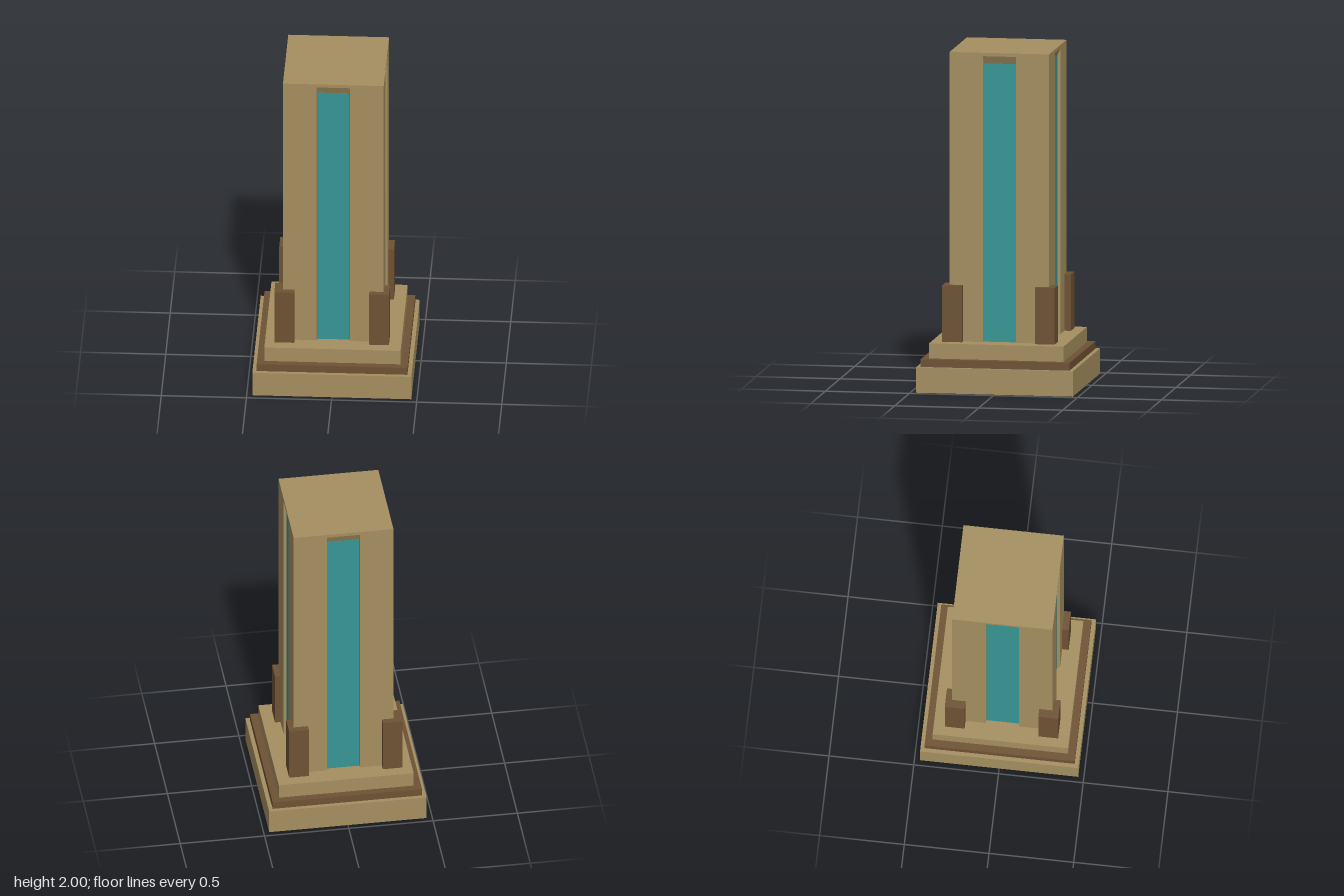
import * as THREE from 'three';

const material = (color) => new THREE.MeshStandardMaterial({ color, flatShading: true });

// Extrude a floor plan upwards from y0 to y1
function extrudePlan(points, y0, y1) {
  const shape = new THREE.Shape(points.map(([x, y]) => new THREE.Vector2(x, y)));
  const geometry = new THREE.ExtrudeGeometry(shape, { depth: y1 - y0, bevelEnabled: false });
  return geometry.rotateX(-Math.PI / 2).translate(0, y0, 0);
}

export function createModel() {
  const model = new THREE.Group();
  model.name = 'tower';
  const stone = material(0xa58f60);
  const trim = material(0x6e5233);
  const glass = material(0x379696);

  const add = (name, geometry, mat, parent = model) => {
    const mesh = new THREE.Mesh(geometry, mat);
    mesh.name = name;
    parent.add(mesh);
    return mesh;
  };
  const slab = (name, half, y0, y1, mat) =>
    add(name, new THREE.BoxGeometry(half * 2, y1 - y0, half * 2).translate(0, (y0 + y1) / 2, 0), mat);

  // Stepped base
  slab('plinth', 0.467, 0, 0.15, stone);
  slab('trimStep', 0.443, 0.15, 0.195, trim);
  slab('upperStep', 0.4, 0.195, 0.285, stone);

  // Shaft: a square plan with a shallow notch in the middle of each side
  const half = 0.296, back = 0.276, floor = 0.285, top = 1.98, paneTop = 1.935;
  const plan = [];
  for (let i = 0; i < 4; i++) {
    const c = Math.round(Math.cos(i * Math.PI / 2)), s = Math.round(Math.sin(i * Math.PI / 2));
    for (const [x, y] of [[half, -half], [half, -0.098], [back, -0.095], [back, 0.095], [half, 0.098]]) {
      plan.push([x * c - y * s, x * s + y * c]);
    }
  }
  add('shaft', extrudePlan(plan, floor, top), stone);
  slab('roofSlab', half, top, 2, stone);

  // Window strip and sloping lintel in each notch
  const slope = new THREE.Shape([
    new THREE.Vector2(back, paneTop), new THREE.Vector2(half, top), new THREE.Vector2(back, top),
  ]);
  for (let i = 0; i < 4; i++) {
    const side = new THREE.Group();
    side.name = 'windowBay';
    side.rotation.y = i * Math.PI / 2;
    model.add(side);
    add('windowStrip', new THREE.BoxGeometry(0.19, paneTop - floor, 0.004)
      .translate(0, (floor + paneTop) / 2, back), glass, side);
    add('lintel', new THREE.ExtrudeGeometry(slope, { depth: 0.194, bevelEnabled: false })
      .translate(0, 0, -0.097).rotateY(-Math.PI / 2), stone, side);
  }

  // L-shaped corner guards wrapping the foot of the shaft
  const w = 0.0585, t = 0.055;
  const angle = [[-w, -w], [w, -w], [w, -w + t], [-w + t, -w + t], [-w + t, w], [-w, w]];
  const corners = [[-0.2865, 0.276], [0.27, 0.276], [0.27, -0.276], [-0.2865, -0.276]];
  corners.forEach(([x, z], i) => {
    const guard = add('cornerGuard', extrudePlan(angle, floor, 0.62), trim);
    guard.position.set(x, 0, z);
    guard.rotation.y = i * Math.PI / 2;
  });

  return model;
}
